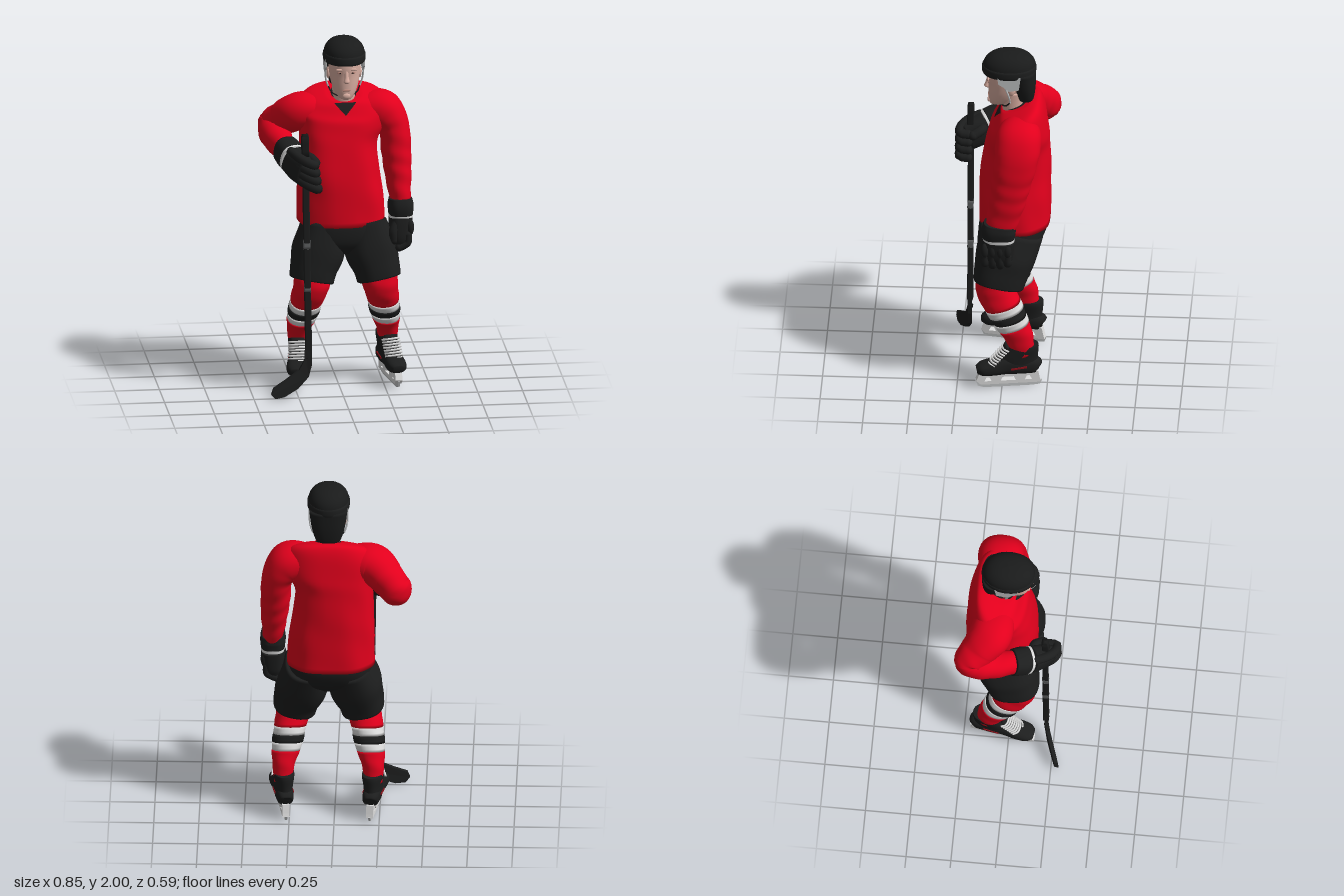
import * as THREE from 'three';

const flat = (name, color) => Object.assign(new THREE.MeshStandardMaterial({ color }), { name });
const V = (x, y, z) => new THREE.Vector3(x, y, z);
const CX = 0.035; // body centre line

export function createModel() {
  const red = flat('jerseyRed', 0xe2001c), black = flat('gearBlack', 0x1d1e1e), white = flat('stripeWhite', 0xdedede);
  const skin = flat('skin', 0xdcb0a3), lip = flat('lipTone', 0xbb887b), steel = flat('steel', 0xc4c6c7);
  const darkRed = flat('darkRed', 0x8c1019), shell = flat('helmetBlack', 0x1a1b1b), grey = flat('stickGrey', 0x5c5e5f);
  const model = new THREE.Group();
  model.name = 'hockeyPlayer';

  const add = (parent, name, geo, mat) => {
    const m = new THREE.Mesh(geo, mat);
    m.name = name;
    parent.add(m);
    return m;
  };

  // Closed skin through rows of [x, y, z, radius along ref, radius across]
  function loft(rows, { ref = V(1, 0, 0), axis = null, n = 2.2, seg = 32, steps = rows.length * 5, from = 0, to = 1, fold = null } = {}) {
    const path = new THREE.CatmullRomCurve3(rows.map(r => V(r[0], r[1], r[2])), false, 'catmullrom', 0.5);
    const size = new THREE.CatmullRomCurve3(rows.map(r => V(r[3], r[4], 0)), false, 'catmullrom', 0.5);
    const pos = [], idx = [];
    const pw = a => Math.sign(a) * Math.abs(a) ** (2 / n);
    for (let j = 0; j <= steps; j++) {
      const t = from + (to - from) * j / steps, c = path.getPoint(t), r = size.getPoint(t);
      const dir = axis || path.getTangent(t);
      const u = ref.clone().addScaledVector(dir, -ref.dot(dir)).normalize(), v = dir.clone().cross(u);
      for (let i = 0; i < seg; i++) {
        const a = i / seg * Math.PI * 2, k = fold ? 1 + fold(t, a) : 1;
        const p = c.clone().addScaledVector(u, pw(Math.cos(a)) * r.x * k).addScaledVector(v, pw(Math.sin(a)) * r.y * k);
        pos.push(p.x, p.y, p.z);
        if (j < steps) {
          const q = j * seg, i2 = (i + 1) % seg;
          idx.push(q + i, q + i2, q + seg + i2, q + i, q + seg + i2, q + seg + i);
        }
      }
    }
    const e0 = path.getPoint(from), e1 = path.getPoint(to), p0 = pos.length / 3, last = steps * seg;
    pos.push(e0.x, e0.y, e0.z, e1.x, e1.y, e1.z);
    for (let i = 0; i < seg; i++) {
      const i2 = (i + 1) % seg;
      idx.push(p0, i2, i, p0 + 1, last + i, last + i2);
    }
    const g = new THREE.BufferGeometry();
    g.setAttribute('position', new THREE.Float32BufferAttribute(pos, 3));
    g.setIndex(idx);
    g.computeVertexNormals();
    return g;
  }
  const up = V(0, 1, 0);
  const tube = (pts, r, seg = 8) => new THREE.TubeGeometry(new THREE.CatmullRomCurve3(pts.map(p => V(...p))), 14, r, seg);
  const poly = pts => pts.map(p => new THREE.Vector2(...p));
  // Padded finger: tube with round ends
  const finger = (parent, pts, r) => {
    add(parent, 'finger', tube(pts, r, 10), black);
    for (const p of [pts[0], pts.at(-1)]) add(parent, 'fingerEnd', new THREE.SphereGeometry(r, 10, 8).translate(...p), black);
  };
  // Front surface depth of a mesh at x, y
  const depthAt = (mesh, x, y) => new THREE.Raycaster(V(x, y, 2), V(0, 0, -1)).intersectObject(mesh)[0]?.point.z ?? 0;

  // Jersey body, with the neckline lower in front
  const body = loft([[0.02, 0.94, -0.06, 0.243, 0.198], [0.015, 1.1, -0.058, 0.238, 0.198], [0.005, 1.25, -0.06, 0.223, 0.195],
    [0.006, 1.4, -0.07, 0.216, 0.18], [0.025, 1.5, -0.078, 0.24, 0.167], [0.03, 1.6, -0.08, 0.252, 0.145],
    [CX, 1.666, -0.08, 0.208, 0.118], [CX, 1.69, -0.07, 0.12, 0.09], [CX, 1.692, -0.065, 0.078, 0.072]],
  { axis: up, n: 2.5, seg: 56, fold: (t, a) => 0.012 * (1 - t) * Math.sin(a * 7 + t * 9) + 0.005 * Math.sin(t * 34 + a * 3) });
  const bp = body.attributes.position;
  for (let i = 0; i < bp.count; i++) {
    const y = bp.getY(i);
    bp.setY(i, y - THREE.MathUtils.smoothstep(y, 1.5, 1.68) * (bp.getZ(i) + 0.12) * 0.42);
  }
  body.computeVertexNormals();
  const jersey = add(model, 'jersey', body, red);

  // Undershirt: collar round the neck and the V laid on the chest
  add(model, 'undershirtCollar', loft([[CX, 1.6, -0.058, 0.068, 0.068], [CX, 1.672, -0.064, 0.071, 0.069]], { axis: V(0, 1, 0.42).normalize() }), black);
  const vNeck = new THREE.PlaneGeometry(2, 1, 12, 8), vp = vNeck.attributes.position;
  for (let i = 0; i < vp.count; i++) {
    const h = vp.getY(i) + 0.5, x = CX + vp.getX(i) * 0.062 * h, y = 1.568 + h * 0.066;
    vp.setXYZ(i, x, y, depthAt(jersey, x, y) + 0.005);
  }
  vNeck.computeVertexNormals();
  add(model, 'undershirtFront', vNeck, black);

  // Sleeves
  const crease = (t, a) => 0.03 * t * Math.sin(t * 42 + 2 * Math.sin(a));
  add(model, 'leftSleeve', loft([[0.1, 1.55, -0.09, 0.1, 0.085], [0.245, 1.56, -0.09, 0.127, 0.108], [0.315, 1.47, -0.08, 0.122, 0.087],
    [0.328, 1.33, -0.055, 0.11, 0.083], [0.336, 1.2, -0.03, 0.1, 0.074], [0.345, 1.05, 0.005, 0.085, 0.056]],
  { ref: V(0, 0, 1), steps: 50, fold: crease }), red);
  add(model, 'rightSleeve', loft([[-0.04, 1.55, -0.09, 0.085, 0.1], [-0.2, 1.558, -0.1, 0.106, 0.12], [-0.29, 1.5, -0.165, 0.095, 0.1],
    [-0.34, 1.45, -0.205, 0.088, 0.086], [-0.336, 1.415, -0.11, 0.082, 0.085], [-0.3, 1.375, 0.04, 0.068, 0.062]],
  { ref: up, steps: 50, fold: crease }), red);

  // Left glove, hanging
  const lg = new THREE.Group();
  lg.name = 'leftGlove';
  lg.position.set(0.345, 1.07, 0.015);
  model.add(lg);
  const zRef = { ref: V(0, 0, 1), n: 2.8 };
  add(lg, 'cuff', loft([[0, 0, -0.005, 0.088, 0.064], [0, -0.04, 0, 0.095, 0.071], [0, -0.085, 0, 0.09, 0.067]], zRef), black);
  add(lg, 'cuffStripe', loft([[0, -0.085, 0, 0.09, 0.067], [0, -0.103, 0, 0.088, 0.066]], zRef), white);
  add(lg, 'hand', loft([[0, -0.1, 0, 0.089, 0.066], [-0.002, -0.15, 0.005, 0.09, 0.064], [-0.004, -0.215, 0.01, 0.088, 0.054], [-0.006, -0.26, 0.01, 0.075, 0.03]], zRef), black);
  for (let i = 0; i < 4; i++) {
    const z = -0.05 + i * 0.042, d = i === 0 || i === 3 ? 0.012 : 0;
    add(lg, 'knucklePad', new THREE.SphereGeometry(0.026, 12, 8).scale(0.8, 1.7, 0.85).translate(0.047, -0.15, z), black);
    finger(lg, [[0.033, -0.19, z], [0.03, -0.235, z], [0.012, -0.262 + d, z], [-0.015, -0.275 + d, z]], 0.0235);
  }
  finger(lg, [[-0.03, -0.12, 0.06], [-0.048, -0.17, 0.075], [-0.045, -0.22, 0.072]], 0.026);

  // Right glove, wrapped round the stick
  const rg = new THREE.Group();
  rg.name = 'rightGlove';
  model.add(rg);
  const yRef = { ref: up, n: 2.6 };
  add(rg, 'cuff', loft([[-0.302, 1.38, 0.025, 0.08, 0.07], [-0.285, 1.365, 0.07, 0.084, 0.075], [-0.272, 1.352, 0.105, 0.083, 0.072]], yRef), black);
  add(rg, 'cuffStripe', loft([[-0.272, 1.352, 0.105, 0.084, 0.073], [-0.267, 1.347, 0.118, 0.084, 0.072]], yRef), white);
  add(rg, 'hand', loft([[-0.267, 1.347, 0.117, 0.083, 0.07], [-0.24, 1.32, 0.165, 0.09, 0.062], [-0.21, 1.295, 0.225, 0.086, 0.045]], yRef), black);
  for (let i = 0; i < 4; i++) {
    const y = 1.375 - i * 0.046, x = i * 0.006;
    finger(rg, [[-0.282 + x, y + 0.025, 0.155], [-0.25 + x, y + 0.01, 0.215], [-0.205 + x, y - 0.01, 0.256], [-0.165 + x, y - 0.028, 0.26], [-0.158 + x, y - 0.034, 0.215]], 0.0265);
  }
  finger(rg, [[-0.235, 1.36, 0.13], [-0.18, 1.36, 0.14], [-0.15, 1.34, 0.185]], 0.028);

  // Stick
  const shaft = { n: 7, seg: 24, steps: 4 };
  const stickX = y => -0.19 - (y - 0.25) * 0.016;
  const bar = (y0, y1, r) => loft([[stickX(y0), y0, 0.204, r, r * 0.9], [stickX(y1), y1, 0.2, r, r * 0.9]], shaft);
  add(model, 'stickShaft', bar(0.22, 1.51, 0.0185), black);
  add(model, 'stickGripTape', bar(1.38, 1.5, 0.021), shell);
  for (const y of [0.85, 0.6]) add(model, 'stickBand', bar(y, y + 0.05, 0.0192), grey);
  const outline = [[-0.172, 0.28], [-0.172, 0.18], [-0.19, 0.11], [-0.25, 0.05], [-0.33, 0.012], [-0.385, 0.008],
    [-0.408, 0.035], [-0.395, 0.07], [-0.32, 0.11], [-0.245, 0.155], [-0.213, 0.21], [-0.21, 0.28]];
  const blade = new THREE.ExtrudeGeometry(new THREE.Shape(poly(outline)), { depth: 0.022, bevelEnabled: false });
  const lp = blade.attributes.position;
  for (let i = 0; i < lp.count; i++) lp.setZ(i, lp.getZ(i) + 0.193 + Math.max(0, -0.2 - lp.getX(i)) * 0.38);
  blade.computeVertexNormals();
  add(model, 'stickBlade', blade, black);

  // Padded pants
  add(model, 'pantsSeat', loft([[0.02, 1.0, -0.055, 0.215, 0.18], [0.025, 0.92, -0.052, 0.232, 0.19], [CX, 0.83, -0.04, 0.235, 0.165], [CX, 0.77, -0.03, 0.15, 0.1]],
    { axis: V(0, -1, 0), n: 2.6 }), black);

  // Legs and skates
  for (const s of [1, -1]) {
    const side = s > 0 ? 'left' : 'right', X = d => CX + s * d;
    add(model, side + 'PantLeg', loft([[X(0.12), 0.92, -0.05, 0.115, 0.175], [X(0.146), 0.78, -0.015, 0.146, 0.168],
      [X(0.175), 0.68, 0.01, 0.13, 0.152], [X(0.188), 0.615, 0.022, 0.122, 0.142]], { n: 2.5 }), black);
    const sock = [[X(0.188), 0.7, 0.045, 0.1, 0.1], [X(0.19), 0.6, 0.052, 0.1, 0.102], [X(0.212), 0.5, 0.003, 0.09, 0.104],
      [X(0.23), 0.4, -0.048, 0.085, 0.094], [X(0.248), 0.3, -0.098, 0.062, 0.077], [X(0.25), 0.2, -0.115, 0.05, 0.066]];
    [[0, 0.415, red], [0.415, 0.495, white], [0.495, 0.575, black], [0.575, 0.655, white], [0.655, 1, red]].forEach(([from, to, mat], i) =>
      add(model, side + (i % 4 ? 'SockStripe' : 'Sock'), loft(sock, { from, to, axis: V(0, -1, -0.33).normalize(), steps: i % 4 ? 3 : 14, fold: (t, a) => 0.015 * Math.sin(t * 38 + a * 2) }), mat));

    const skate = new THREE.Group();
    skate.name = side + 'Skate';
    skate.position.x = X(0.265);
    skate.rotation.y = s * 0.16;
    model.add(skate);
    add(skate, 'bootFoot', loft([[0, 0.122, -0.205, 0.025, 0.025], [0, 0.13, -0.185, 0.045, 0.045], [0, 0.135, -0.1, 0.05, 0.052],
      [0, 0.14, -0.02, 0.05, 0.056], [0, 0.127, 0.05, 0.056, 0.045], [0, 0.118, 0.11, 0.052, 0.035], [0, 0.112, 0.142, 0.03, 0.02]], { n: 2.6 }), black);
    add(skate, 'bootShaft', loft([[0, 0.1, -0.095, 0.045, 0.105], [0, 0.18, -0.093, 0.051, 0.107], [0, 0.24, -0.115, 0.057, 0.09], [0, 0.264, -0.12, 0.056, 0.083]], { axis: up }), black);
    add(skate, 'tongue', loft([[0, 0.15, 0.045, 0.036, 0.02], [0, 0.2, 0.002, 0.038, 0.02], [0, 0.265, -0.03, 0.038, 0.014]]), black);
    for (let i = 0; i < 8; i++) {
      const y = 0.156 + i * 0.0128, z = 0.071 - i * 0.0112;
      add(skate, 'lace', tube([[-0.048, y - 0.008, z - 0.026], [-0.028, y, z], [0.028, y + 0.004, z], [0.048, y - 0.004, z - 0.026]], 0.0062, 6), white);
    }
    for (const e of [1, -1]) add(skate, 'sideFlash', new THREE.BoxGeometry(0.006, 0.01, 0.09).rotateX(0.12).translate(e * 0.051, 0.135, -0.09), darkRed);
    // Blade holder with openings, drawn along z then turned
    const holder = new THREE.Shape(poly([[-0.2, 0.095], [-0.21, 0.045], [-0.215, 0.025], [0.12, 0.025], [0.145, 0.05], [0.13, 0.09]]));
    for (const [a, b] of [[-0.165, -0.125], [-0.075, 0.01], [0.06, 0.1]])
      holder.holes.push(new THREE.Path(poly([[a, 0.045], [a + 0.012, 0.07], [b - 0.012, 0.07], [b, 0.045]])));
    const plate = (shape, w) => new THREE.ExtrudeGeometry(shape, { depth: w, bevelEnabled: false }).translate(0, 0, -w / 2).rotateY(-Math.PI / 2);
    add(skate, 'bladeHolder', plate(holder, 0.04), white);
    add(skate, 'runner', plate(new THREE.Shape(poly([[-0.222, 0.03], [-0.212, 0.005], [-0.17, 0], [0.1, 0], [0.135, 0.012], [0.148, 0.045]])), 0.012), steel);
  }

  // Head and neck
  add(model, 'neck', loft([[CX, 1.58, -0.06, 0.064, 0.064], [CX, 1.66, -0.05, 0.063, 0.064], [CX, 1.76, -0.05, 0.066, 0.07]], { axis: up }), skin);
  const head = add(model, 'head', loft([[CX, 1.664, 0.045, 0.02, 0.026], [CX, 1.674, 0.035, 0.038, 0.048], [CX, 1.705, 0.015, 0.06, 0.073], [CX, 1.75, 0.0, 0.076, 0.09],
    [CX, 1.8, -0.012, 0.085, 0.104], [CX, 1.85, -0.018, 0.089, 0.115], [CX, 1.92, -0.02, 0.09, 0.115]], { axis: up, n: 2.1 }), skin);
  add(model, 'nose', loft([[CX, 1.84, 0.085, 0.011, 0.01], [CX, 1.8, 0.094, 0.012, 0.012], [CX, 1.776, 0.098, 0.017, 0.016], [CX, 1.766, 0.091, 0.01, 0.01]], { axis: V(0, -1, 0), seg: 16 }), skin);
  const detail = (name, x, y, w, h, mat, d = 0.004) =>
    add(model, name, new THREE.SphereGeometry(1, 14, 8).scale(w, h, d).translate(x, y, depthAt(head, x, y)), mat);
  detail('lips', CX, 1.724, 0.024, 0.006, lip);
  detail('chin', CX, 1.69, 0.022, 0.016, skin, 0.009);
  for (const s of [1, -1]) {
    detail('eyeSocket', CX + s * 0.035, 1.825, 0.016, 0.006, lip);
    detail('eye', CX + s * 0.035, 1.825, 0.006, 0.004, black, 0.0055);
    detail('brow', CX + s * 0.036, 1.843, 0.024, 0.008, skin, 0.006);
    add(model, 'ear', new THREE.SphereGeometry(1, 12, 10).scale(0.012, 0.034, 0.022).translate(CX + s * 0.088, 1.795, -0.04), skin);
    // Ear guard and chin strap
    const guard = new THREE.Shape(poly([[-0.035, 1.89], [-0.03, 1.845], [0.0, 1.825], [0.03, 1.8], [0.085, 1.81], [0.095, 1.89]]));
    add(model, 'earGuard', new THREE.ExtrudeGeometry(guard, { depth: 0.008, bevelEnabled: false }).rotateY(Math.PI / 2).translate(CX + s * 0.106 - 0.004, 0, 0), steel);
    add(model, 'sideStrap', tube([[CX + s * 0.106, 1.82, -0.01], [CX + s * 0.102, 1.76, -0.03], [CX + s * 0.088, 1.715, -0.035]], 0.005, 6), steel);
    add(model, 'chinStrap', tube([[CX + s * 0.088, 1.717, -0.035], [CX + s * 0.068, 1.685, -0.01], [CX, 1.66, 0.025]], 0.004, 6), black);
  }

  // Helmet: dome, rim, back shell, raised crown edge
  add(model, 'helmetDome', loft([[CX, 1.872, -0.025, 0.113, 0.146], [CX, 1.915, -0.026, 0.114, 0.147], [CX, 1.95, -0.027, 0.104, 0.134],
    [CX, 1.978, -0.028, 0.08, 0.103], [CX, 1.994, -0.028, 0.046, 0.06], [CX, 2.0, -0.028, 0.005, 0.006]], { axis: up, seg: 40, n: 2.1 }), shell);
  add(model, 'helmetRim', loft([[CX, 1.872, -0.025, 0.114, 0.147], [CX, 1.885, -0.025, 0.118, 0.151], [CX, 1.91, -0.025, 0.118, 0.151], [CX, 1.92, -0.025, 0.114, 0.147]], { axis: up, seg: 40, n: 2.1 }), black);
  add(model, 'helmetBack', loft([[CX, 1.702, -0.122, 0.052, 0.03], [CX, 1.716, -0.118, 0.07, 0.046], [CX, 1.79, -0.113, 0.093, 0.06], [CX, 1.89, -0.1, 0.107, 0.073]], { axis: up, n: 2.4 }), shell);
  for (const s of [1, -1]) add(model, 'helmetRidge', tube([[CX + s * 0.035, 1.925, 0.106], [CX + s * 0.036, 1.968, 0.06], [CX + s * 0.036, 1.99, -0.028], [CX + s * 0.036, 1.968, -0.115], [CX + s * 0.035, 1.925, -0.158]], 0.005, 6), shell);

  return model;
}
